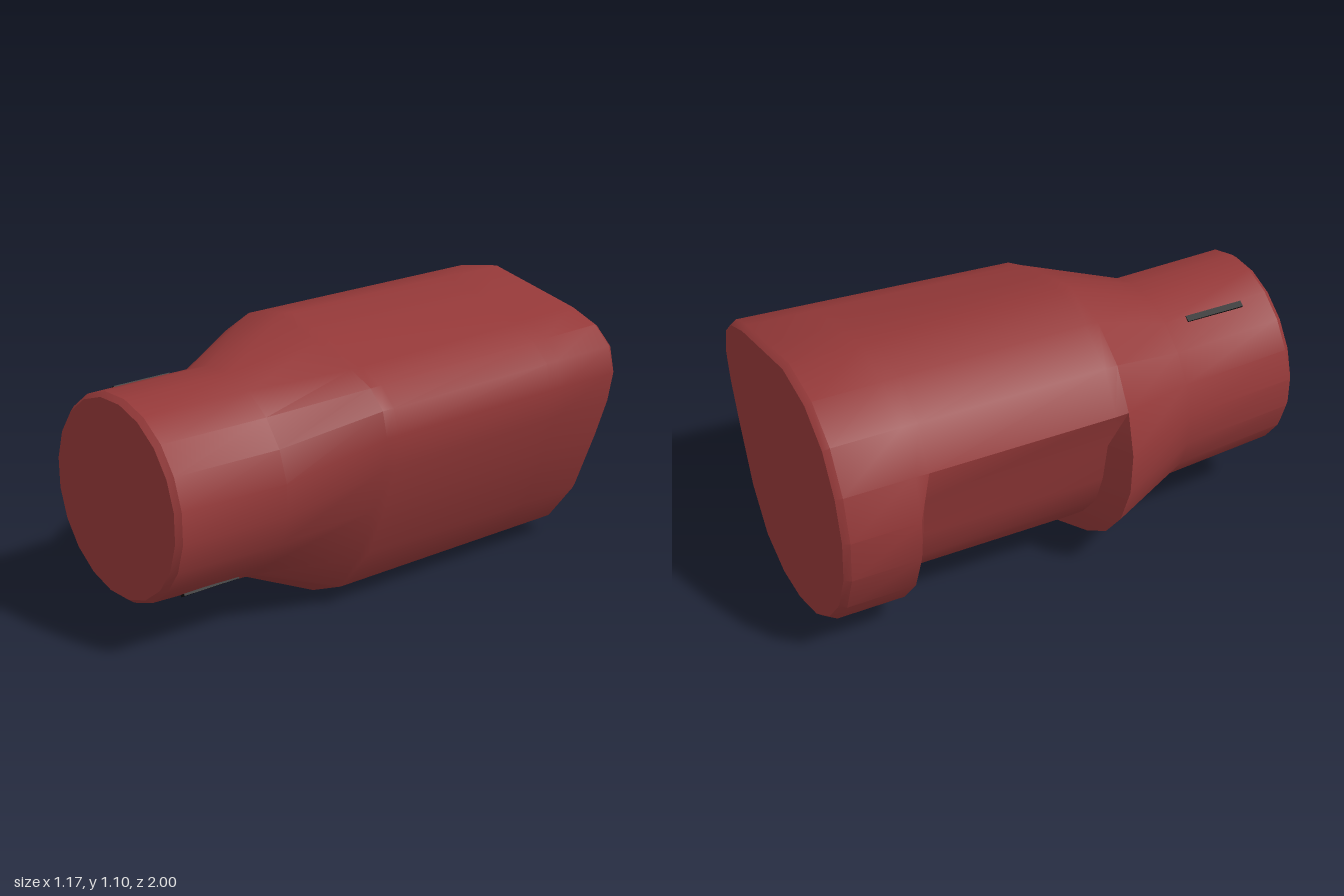
import * as THREE from 'three';
import { toCreasedNormals } from 'three/addons/utils/BufferGeometryUtils.js';

// Body outline at the back, clockwise seen from the front
const BACK = [
  [-0.585, 0.63], [-0.54, 0.8], [-0.445, 0.955], [-0.295, 1.06], [-0.09, 1.1],
  [0.13, 1.06], [0.35, 1.02], [0.48, 0.975], [0.56, 0.905], [0.585, 0.8],
  [0.56, 0.67], [0.5, 0.5], [0.4, 0.25], [0.27, 0.085], [0.1, 0.01],
  [-0.07, 0.003], [-0.25, 0.05], [-0.4, 0.15], [-0.51, 0.285], [-0.575, 0.455],
];
const N = BACK.length;

// The same outline at the shoulder, with a softer right-hand corner
const SHOULDER = BACK.map((p) => [...p]);
[[0.13, 1.045], [0.33, 0.985], [0.44, 0.94], [0.51, 0.87],
  [0.535, 0.77], [0.52, 0.64], [0.47, 0.47], [0.38, 0.25]].forEach((p, i) => { SHOULDER[5 + i] = p; });

// Floor of the side recess, by outline index
const RECESS = {
  1: [-0.53, 0.79], 0: [-0.48, 0.63], 19: [-0.45, 0.46],
  18: [-0.4, 0.32], 17: [-0.3, 0.2], 16: [-0.19, 0.1],
};

const circle = (cx, cy, r) => BACK.map((_, i) => {
  const a = THREE.MathUtils.degToRad(172 - (360 / N) * i);
  return [cx + r * Math.cos(a), cy + r * Math.sin(a)];
});

function bodyAt(z, recessed = false) {
  const t = (0.17 - z) / 1.17;
  return BACK.map((b, i) => (recessed && RECESS[i]) ? RECESS[i]
    : [0, 1].map((k) => SHOULDER[i][k] * (1 - t) + b[k] * t));
}

const shrink = (ring, s) => ring.map(([x, y]) => [x * s, 0.55 + (y - 0.55) * s]);

// Skin a list of [z, outline] sections and cap both ends
function loft(sections) {
  const pos = [], index = [];
  for (const [z, ring] of sections) for (const [x, y] of ring) pos.push(x, y, z);
  for (let s = 0; s < sections.length - 1; s++) {
    for (let i = 0; i < N; i++) {
      const j = (i + 1) % N;
      const a = s * N + i, b = s * N + j, c = a + N, d = b + N;
      index.push(a, b, c, b, d, c);
    }
  }
  const last = (sections.length - 1) * N;
  const front = pos.length / 3, back = front + 1;
  pos.push(-0.017, 0.57, sections[0][0], 0, 0.56, sections[sections.length - 1][0]);
  for (let i = 0; i < N; i++) {
    const j = (i + 1) % N;
    index.push(front, j, i, back, last + i, last + j);
  }
  const g = new THREE.BufferGeometry();
  g.setAttribute('position', new THREE.Float32BufferAttribute(pos, 3));
  g.setIndex(index);
  return toCreasedNormals(g, 0.62);
}

export function createModel() {
  const group = new THREE.Group();
  group.name = 'housing';
  const red = new THREE.MeshStandardMaterial({ color: 0x933838 });
  red.name = 'dark red';
  const black = new THREE.MeshStandardMaterial({ color: 0x0c0c0c });
  black.name = 'black';

  // Round nose, flared shoulder and body with a recess on the right side
  const body = new THREE.Mesh(loft([
    [1, circle(-0.017, 0.572, 0.383)],
    [0.978, circle(-0.017, 0.572, 0.4)],
    [0.51, circle(-0.03, 0.558, 0.41)],
    [0.17, bodyAt(0.17)],
    [0.12, bodyAt(0.12, true)],
    [-0.64, bodyAt(-0.64, true)],
    [-0.7, bodyAt(-0.7)],
    [-0.975, bodyAt(-0.975)],
    [-1, shrink(BACK, 0.97)],
  ]), red);
  body.name = 'body';
  group.add(body);

  // Two opposite dark slits on the nose
  for (const [name, deg] of [['upperSlit', 120.5], ['lowerSlit', -58.5]]) {
    const a = THREE.MathUtils.degToRad(deg);
    const slit = new THREE.Mesh(new THREE.BoxGeometry(0.009, 0.025, 0.25), black);
    slit.position.set(-0.023 + 0.405 * Math.cos(a), 0.565 + 0.405 * Math.sin(a), 0.73);
    slit.rotation.z = a;
    slit.name = name;
    group.add(slit);
  }
  return group;
}
